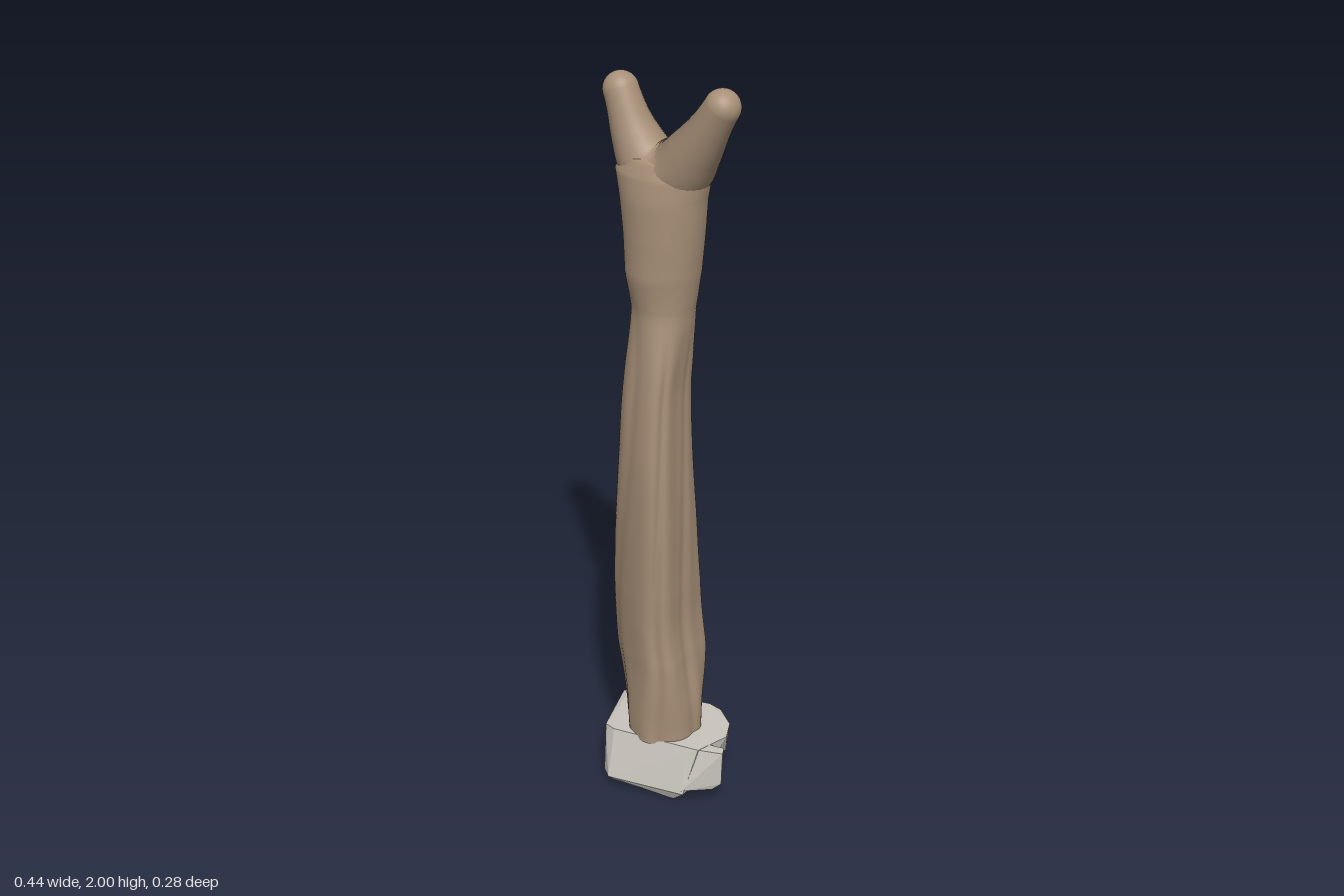
import * as THREE from 'three';
import { ConvexGeometry } from 'three/addons/geometries/ConvexGeometry.js';

const wood = new THREE.MeshStandardMaterial({ color: 0xa89078 });
const stone = new THREE.MeshStandardMaterial({ color: 0xc8c4bc });
const { lerp, smoothstep } = THREE.MathUtils;

// Long twisting furrows that fade out towards the fork
function furrows(a, y) {
  const w = a + 0.25 * Math.sin(y * 4);
  const groove = g => Math.exp(-((Math.atan2(Math.sin(w - g), Math.cos(w - g)) / 0.16) ** 2));
  const cuts = groove(0.45) + groove(1.7) + groove(3.3) + groove(4.1) + groove(5.5);
  return 1 + (1 - smoothstep(y, 1.15, 1.5)) * (0.015 * Math.sin(w * 7 + y * 2) - 0.06 * cuts);
}

// Smooth loft through horizontal rings; each row is [y, xMin, xMax, zMin, zMax]
function trunkGeometry(rows, steps, sides) {
  const centre = new THREE.CatmullRomCurve3(
    rows.map(([y, a, b, c, d]) => new THREE.Vector3((a + b) / 2, y, (c + d) / 2)), false, 'centripetal');
  const pos = [], index = [];
  for (let j = 0; j <= steps; j++) {
    const t = j / steps, c = centre.getPoint(t);
    const f = t * (rows.length - 1), r = Math.min(Math.floor(f), rows.length - 2);
    const half = (lo, hi) => lerp(rows[r][hi] - rows[r][lo], rows[r + 1][hi] - rows[r + 1][lo], f - r) / 2;
    const rx = half(1, 2), rz = half(3, 4);
    // Flattened on its left side along the shaft, round at foot and fork
    const flat = 0.5 * smoothstep(c.y, 0.15, 0.4) * (1 - smoothstep(c.y, 1.2, 1.5));
    for (let i = 0; i < sides; i++) {
      const a = (i / sides) * Math.PI * 2, k = furrows(a, c.y);
      pos.push(c.x + rx * k * (Math.sin(a) + flat * Math.cos(a) ** 2), c.y, c.z + rz * k * Math.cos(a));
      if (j === steps) continue;
      const n = (i + 1) % sides, p = j * sides;
      index.push(p + i, p + n, p + sides + n, p + i, p + sides + n, p + sides + i);
    }
  }
  const g = new THREE.BufferGeometry();
  g.setAttribute('position', new THREE.Float32BufferAttribute(pos, 3));
  g.setIndex(index);
  g.computeVertexNormals();
  return g;
}

// One bent limb from tip to tip, thickest at the saddle in the middle
function forkGeometry(path, tipRadius, saddleRadius) {
  const steps = 80, sides = 32;
  const g = new THREE.TubeGeometry(path, steps, 1, sides);
  const p = g.attributes.position, v = new THREE.Vector3();
  for (let j = 0; j <= steps; j++) {
    const c = path.getPointAt(j / steps);
    const r = lerp(tipRadius, saddleRadius, smoothstep(1 - Math.abs(2 * j / steps - 1), 0, 1));
    for (let i = 0; i <= sides; i++) {
      const k = j * (sides + 1) + i;
      v.fromBufferAttribute(p, k).sub(c).multiplyScalar(r).add(c);
      p.setXYZ(k, v.x, v.y, v.z);
    }
  }
  return g;
}

const hull = points => new ConvexGeometry(points.map(p => new THREE.Vector3(...p)));

export function createModel() {
  const group = new THREE.Group();
  const add = (name, geometry, material) => {
    const mesh = new THREE.Mesh(geometry, material);
    mesh.name = name;
    group.add(mesh);
    return mesh;
  };

  // Trunk, swelling below the fork and ending inside it
  add('trunk', trunkGeometry([
    [0.15, -0.10, 0.10, -0.10, 0.098],
    [0.25, -0.115, 0.097, -0.108, 0.10],
    [0.40, -0.146, 0.077, -0.12, 0.103],
    [0.50, -0.149, 0.066, -0.117, 0.107],
    [0.60, -0.147, 0.066, -0.106, 0.113],
    [0.80, -0.131, 0.067, -0.082, 0.124],
    [1.00, -0.112, 0.064, -0.064, 0.128],
    [1.20, -0.10, 0.062, -0.058, 0.114],
    [1.40, -0.085, 0.079, -0.077, 0.086],
    [1.50, -0.10, 0.094, -0.095, 0.098],
    [1.60, -0.105, 0.105, -0.095, 0.10],
    [1.70, -0.116, 0.116, -0.09, 0.10],
    [1.76, -0.131, 0.129, -0.086, 0.092],
    [1.80, -0.115, 0.115, -0.074, 0.076],
    [1.82, -0.06, 0.06, -0.04, 0.04],
    [1.825, 0, 0, 0, 0],
  ], 120, 72), wood);

  // Fork with rounded tips
  const limb = [
    [-0.142, 1.938, -0.024], [-0.093, 1.835, -0.012], [-0.045, 1.773, -0.003], [0, 1.76, 0],
    [0.045, 1.773, 0.003], [0.095, 1.835, 0.008], [0.171, 1.954, 0.016],
  ].map(p => new THREE.Vector3(...p));
  add('fork', forkGeometry(new THREE.CatmullRomCurve3(limb), 0.046, 0.083), wood);
  for (const [name, tip] of [['rightTip', limb[0]], ['leftTip', limb[6]]])
    add(name, new THREE.SphereGeometry(0.046, 32, 20), wood).position.copy(tip);

  // Rough stone foot
  add('stoneBase', hull([
    // top face
    [-0.19, 0.155, -0.085], [-0.17, 0.163, -0.095], [0.06, 0.165, -0.142], [0.098, 0.16, -0.138],
    [0.155, 0.16, -0.09], [0.18, 0.16, -0.03], [0.15, 0.162, 0.07], [-0.10, 0.162, 0.102], [-0.135, 0.16, 0.09],
    // sides
    [-0.218, 0.07, -0.058], [-0.19, 0.06, -0.09], [0.10, 0.07, -0.135], [0.15, 0.08, -0.08],
    // bottom face
    [-0.20, 0.035, -0.045], [-0.15, 0.015, -0.07], [0.06, 0.015, -0.11], [0.11, 0.02, -0.09],
    [0.14, 0.045, 0.06], [0.125, 0.03, 0.108], [0.09, 0, 0.10],
    [-0.095, 0.03, 0.142], [-0.125, 0.03, 0.115], [-0.10, 0, 0.11],
  ]), stone);
  // Thin broken flake jutting out at the left edge
  add('stoneFlake', hull([
    [0.12, 0.16, 0.075], [0.15, 0.16, 0.03], [0.205, 0.163, 0.025], [0.215, 0.162, 0.05],
    [0.213, 0.065, 0.052], [0.19, 0.045, 0.062], [0.12, 0.04, 0.108], [0.12, 0.06, 0.085],
  ]), stone);

  return group;
}
